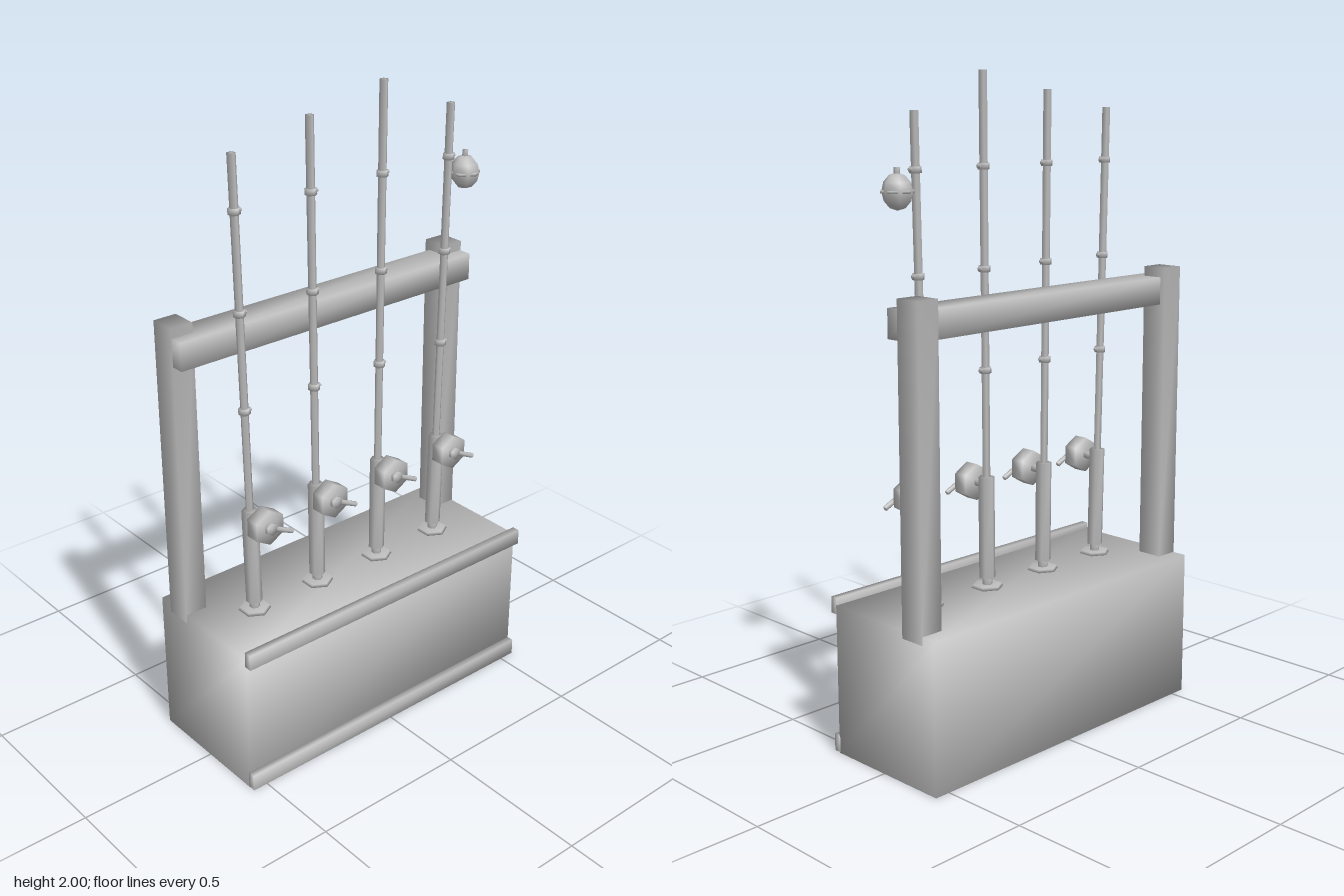
import * as THREE from 'three';
import { mergeVertices } from 'three/addons/utils/BufferGeometryUtils.js';

const grey = new THREE.MeshStandardMaterial({ color: 0xbbbbbb });
grey.name = 'plain grey';

// Weld corners so normals are smooth across every edge
function soften(geo) {
  geo.deleteAttribute('normal');
  geo.deleteAttribute('uv');
  const g = mergeVertices(geo, 1e-5);
  g.computeVertexNormals();
  return g;
}

function add(parent, name, geo) {
  const m = new THREE.Mesh(soften(geo), grey);
  m.name = name;
  parent.add(m);
  return m;
}

// Box given by its limits on each axis
function block(parent, name, [x0, x1], [y0, y1], [z0, z1]) {
  const m = add(parent, name, new THREE.BoxGeometry(x1 - x0, y1 - y0, z1 - z0));
  m.position.set((x0 + x1) / 2, (y0 + y1) / 2, (z0 + z1) / 2);
  return m;
}

// Tapered cylinder between two points
function rod(parent, name, a, b, r0, r1, sides = 6) {
  const from = new THREE.Vector3(...a), to = new THREE.Vector3(...b);
  const dir = to.clone().sub(from);
  const m = add(parent, name, new THREE.CylinderGeometry(r1, r0, dir.length(), sides));
  m.position.copy(from).add(to).multiplyScalar(0.5);
  m.quaternion.setFromUnitVectors(new THREE.Vector3(0, 1, 0), dir.normalize());
  return m;
}

function fishingRod(x, topX, topY) {
  const g = new THREE.Group();
  g.name = 'fishingRod';
  const z = 0.008, baseY = 0.465;
  const at = (y) => [x + (topX - x) * (y - baseY) / (topY - baseY), y, z];

  rod(g, 'socketPlate', [x, 0.464, z], [x, 0.474, z], 0.05, 0.045);
  rod(g, 'buttCap', at(0.465), at(0.5), 0.016, 0.016);
  rod(g, 'handle', at(0.495), at(0.81), 0.025, 0.025);
  rod(g, 'pole', at(0.8), at(topY), 0.012, 0.013, 5);

  // Line guides, each with a small side eye
  for (const y of [1.135, 1.435, 1.73]) {
    const [gx] = at(y);
    rod(g, 'guideCollar', at(y - 0.009), at(y + 0.009), 0.018, 0.018);
    rod(g, 'guideEye', [gx + 0.005, y - 0.006, z], [gx + 0.022, y + 0.003, z], 0.007, 0.007, 5);
  }

  // Reel with hub and crank
  const y = 0.785;
  rod(g, 'reelFoot', [x, y, z], [x, y, 0.055], 0.012, 0.012);
  const drum = add(g, 'reelDrum', new THREE.CylinderGeometry(0.056, 0.056, 0.045, 6));
  drum.rotation.x = Math.PI / 2;
  drum.position.set(x, y, 0.073);
  rod(g, 'reelHub', [x, y, 0.09], [x, y, 0.108], 0.02, 0.02);
  rod(g, 'reelCrank', [x + 0.015, y - 0.003, 0.107], [x + 0.072, y - 0.03, 0.107], 0.008, 0.008);
  return g;
}

export function createModel() {
  const model = new THREE.Group();
  model.name = 'fishingRodRack';

  // Chest and its front rails
  block(model, 'chest', [-0.55, 0.55], [0, 0.465], [-0.223, 0.203]);
  block(model, 'topRail', [-0.55, 0.55], [0.437, 0.487], [0.2, 0.225]);
  block(model, 'bottomRail', [-0.55, 0.55], [0.002, 0.055], [0.2, 0.225]);

  // Frame
  for (const s of [-1, 1]) {
    const xs = [s * 0.478, s * 0.552].sort((a, b) => a - b);
    block(model, 'post', xs, [0.44, 1.4], [-0.175, -0.092]);
  }
  block(model, 'crossbeam', [-0.55, 0.55], [1.285, 1.37], [-0.157, -0.05]);

  // Rods, fanned slightly outward
  for (const [x, topX, topY] of [
    [-0.369, -0.4, 1.89], [-0.124, -0.136, 1.945], [0.12, 0.131, 2], [0.365, 0.393, 1.89],
  ]) model.add(fishingRod(x, topX, topY));

  // Float hanging beside the last rod
  const bobber = new THREE.Group();
  bobber.name = 'float';
  bobber.position.set(0.449, 1.673, 0.017);
  add(bobber, 'floatBody', new THREE.SphereGeometry(0.046, 6, 6)).scale.y = 1.13;
  rod(bobber, 'floatBand', [0, -0.004, 0], [0, 0.004, 0], 0.048, 0.048);
  rod(bobber, 'floatStem', [0, 0.045, 0], [0, 0.066, 0], 0.009, 0.009);
  model.add(bobber);

  return model;
}
